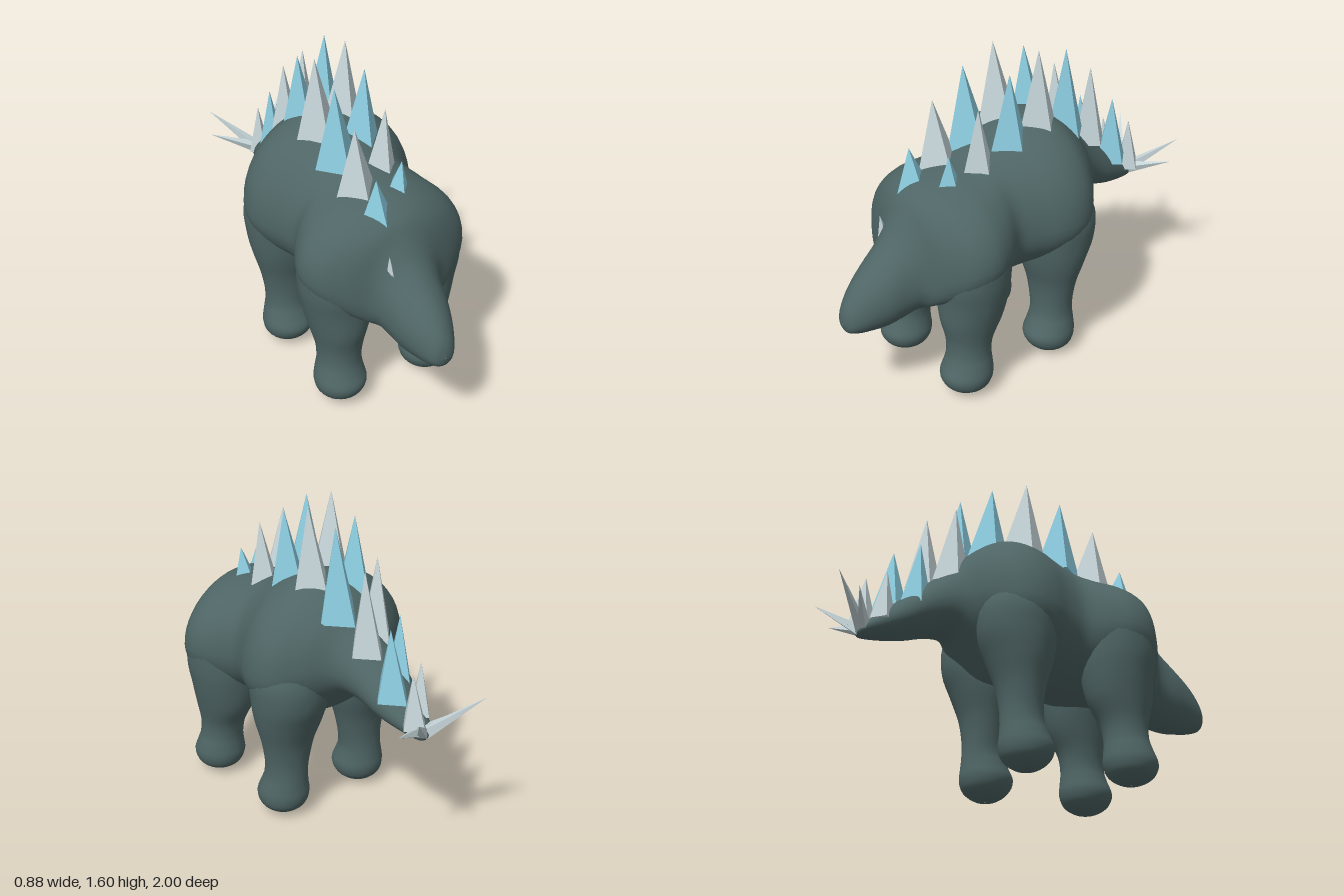
import * as THREE from 'three';

const mat = (name, color) => Object.assign(new THREE.MeshStandardMaterial({ color }), { name });

// Catmull-Rom blend through rows of section parameters
function sampleRows(rows, steps) {
  const out = [], n = rows.length;
  const at = i => rows[Math.min(n - 1, Math.max(0, i))];
  for (let i = 0; i < n - 1; i++) {
    for (let s = 0; s < steps; s++) {
      const t = s / steps;
      out.push(at(i).map((b, k) => {
        const a = at(i - 1)[k], c = at(i + 1)[k], d = at(i + 2)[k];
        return 0.5 * (2 * b + (c - a) * t + (2 * a - 5 * b + 4 * c - d) * t * t + (3 * b - a - 3 * c + d) * t * t * t);
      }));
    }
  }
  out.push(rows[n - 1]);
  return out;
}

// Smooth skin over closed cross-sections
function loft(rows, point, sides = 40, steps = 4) {
  const pos = [], index = [], rings = sampleRows(rows, steps);
  rings.forEach((row, i) => {
    for (let j = 0; j < sides; j++) {
      pos.push(...point(row, (j / sides) * Math.PI * 2));
      if (i === 0) continue;
      const k = (j + 1) % sides, p = (i - 1) * sides, q = i * sides;
      index.push(p + j, q + j, p + k, p + k, q + j, q + k);
    }
  });
  const geo = new THREE.BufferGeometry();
  geo.setAttribute('position', new THREE.Float32BufferAttribute(pos, 3));
  geo.setIndex(index);
  geo.computeVertexNormals();
  return geo;
}

// Four-sided faceted spike from a base centre to a tip
function spikeGeometry(base, tip, rx, rz, lean = false) {
  const dir = tip.clone().sub(base);
  let geo = new THREE.ConeGeometry(1, 1, 4).translate(0, 0.5, 0);
  if (lean) {
    geo.scale(rx, dir.length(), rz);
    geo.applyQuaternion(new THREE.Quaternion().setFromUnitVectors(new THREE.Vector3(0, 1, 0), dir.normalize()));
  } else {
    // Keep the base level and shear the tip sideways
    geo.applyMatrix4(new THREE.Matrix4().set(rx, dir.x, 0, 0, 0, dir.y, 0, 0, 0, dir.z, rz, 0, 0, 0, 0, 1));
  }
  geo.translate(base.x, base.y, base.z);
  geo = geo.toNonIndexed();
  geo.computeVertexNormals();
  return geo;
}

export function createModel() {
  const model = new THREE.Group();
  model.name = 'platedDinosaur';
  const skin = mat('slate skin', 0x4f6565);
  const blue = mat('ice blue', 0x8ccde0);
  const grey = mat('pale grey', 0xc6d5d9);
  const add = (name, geo, material) => {
    const mesh = new THREE.Mesh(geo, material);
    mesh.name = name;
    model.add(mesh);
  };
  const V = (x, y, z) => new THREE.Vector3(x, y, z);

  // Head, trunk and tail: z, half width, top, bottom, height of widest point
  const trunk = [
    [1.0, 0.002, 0.502, 0.498, 0.5],
    [0.985, 0.05, 0.57, 0.45, 0.5],
    [0.94, 0.085, 0.64, 0.43, 0.52],
    [0.88, 0.115, 0.7, 0.42, 0.55],
    [0.8, 0.145, 0.765, 0.415, 0.58],
    [0.71, 0.165, 0.85, 0.43, 0.61],
    [0.65, 0.2, 0.94, 0.45, 0.65],
    [0.6, 0.3, 1.02, 0.47, 0.7],
    [0.52, 0.4, 1.07, 0.49, 0.74],
    [0.41, 0.435, 1.1, 0.5, 0.76],
    [0.3, 0.4, 1.12, 0.5, 0.77],
    [0.2, 0.345, 1.16, 0.5, 0.78],
    [0.1, 0.37, 1.2, 0.51, 0.79],
    [0, 0.42, 1.235, 0.52, 0.8],
    [-0.1, 0.44, 1.25, 0.53, 0.81],
    [-0.2, 0.41, 1.235, 0.56, 0.83],
    [-0.3, 0.31, 1.17, 0.66, 0.87],
    [-0.38, 0.205, 1.09, 0.715, 0.88],
    [-0.48, 0.155, 1.0, 0.71, 0.85],
    [-0.6, 0.13, 0.9, 0.675, 0.78],
    [-0.7, 0.1, 0.81, 0.655, 0.73],
    [-0.79, 0.065, 0.73, 0.643, 0.69],
    [-0.83, 0.04, 0.7, 0.645, 0.67],
    [-0.845, 0.002, 0.672, 0.668, 0.67],
  ];
  add('body', loft(trunk, ([z, w, top, bottom, mid], a) => {
    const s = Math.sin(a);
    return [w * Math.cos(a), mid + s * (s > 0 ? top - mid : mid - bottom), z];
  }, 48), skin);

  // Legs: y, centre x, centre z, radius x, radius z
  const frontLeg = [
    [0.008, 0.245, 0.46, 0.002, 0.002],
    [0.02, 0.245, 0.46, 0.06, 0.06],
    [0.055, 0.245, 0.46, 0.11, 0.112],
    [0.11, 0.243, 0.46, 0.13, 0.133],
    [0.17, 0.243, 0.45, 0.12, 0.12],
    [0.23, 0.24, 0.442, 0.11, 0.11],
    [0.31, 0.235, 0.434, 0.117, 0.118],
    [0.42, 0.232, 0.418, 0.145, 0.158],
    [0.54, 0.23, 0.408, 0.175, 0.175],
    [0.66, 0.235, 0.41, 0.19, 0.185],
    [0.8, 0.235, 0.41, 0.18, 0.17],
    [0.92, 0.2, 0.41, 0.1, 0.1],
    [0.95, 0.2, 0.41, 0.002, 0.002],
  ];
  const hindLeg = [
    [0.002, 0.245, -0.08, 0.002, 0.002],
    [0.015, 0.245, -0.08, 0.06, 0.06],
    [0.055, 0.245, -0.08, 0.112, 0.112],
    [0.11, 0.243, -0.078, 0.13, 0.132],
    [0.17, 0.243, -0.088, 0.12, 0.118],
    [0.23, 0.24, -0.097, 0.11, 0.105],
    [0.31, 0.235, -0.1, 0.117, 0.103],
    [0.42, 0.232, -0.103, 0.14, 0.118],
    [0.54, 0.23, -0.108, 0.175, 0.158],
    [0.66, 0.235, -0.12, 0.19, 0.19],
    [0.8, 0.24, -0.12, 0.185, 0.19],
    [0.95, 0.22, -0.12, 0.12, 0.12],
    [0.98, 0.2, -0.12, 0.002, 0.002],
  ];
  for (const side of [1, -1]) {
    const ring = ([y, cx, cz, rx, rz], a) => [side * cx + rx * Math.cos(a), y, cz + rz * Math.sin(a)];
    const label = side > 0 ? 'left' : 'right';
    add(label + 'FrontLeg', loft(frontLeg, ring, 28), skin);
    add(label + 'HindLeg', loft(hindLeg, ring, 28), skin);
  }

  // Two staggered rows of back plates: tip x, tip y, tip z, height, radius
  const leftPlates = [
    [0.1, 1.22, 0.43, 0.16, 0.065],
    [0.11, 1.41, 0.26, 0.34, 0.095],
    [0.11, 1.53, 0.07, 0.41, 0.12],
    [0.11, 1.6, -0.11, 0.43, 0.12],
    [0.1, 1.55, -0.295, 0.46, 0.12],
    [0.08, 1.39, -0.48, 0.41, 0.1],
    [0.07, 1.16, -0.65, 0.35, 0.1],
    [0.055, 0.985, -0.79, 0.27, 0.075],
  ];
  const rightPlates = [
    [-0.09, 1.22, 0.515, 0.25, 0.11],
    [-0.11, 1.41, 0.355, 0.34, 0.115],
    [-0.11, 1.53, 0.17, 0.41, 0.125],
    [-0.11, 1.6, -0.015, 0.43, 0.125],
    [-0.1, 1.53, -0.2, 0.42, 0.12],
    [-0.08, 1.39, -0.385, 0.41, 0.1],
    [-0.07, 1.16, -0.56, 0.34, 0.085],
    [-0.06, 0.985, -0.72, 0.26, 0.065],
  ];
  for (const [name, row] of [['leftPlate', leftPlates], ['rightPlate', rightPlates]]) {
    row.forEach(([x, y, z, h, r], i) => {
      const geo = spikeGeometry(V(x * 0.85, y - h, z - 0.01), V(x, y, z), r * 0.9, r);
      add(name + (i + 1), geo, i % 2 ? grey : blue);
    });
  }
  // Tiny plate just breaking the skin of the neck
  add('neckPlate', spikeGeometry(V(-0.1, 0.78, 0.67), V(-0.113, 0.91, 0.68), 0.025, 0.04), grey);

  // Crossed spikes at the tail tip
  for (const side of [1, -1]) {
    const label = side > 0 ? 'left' : 'right';
    add(label + 'UpperTailSpike', spikeGeometry(V(side * 0.005, 0.67, -0.81), V(side * 0.21, 0.865, -1), 0.035, 0.035, true), grey);
    add(label + 'LowerTailSpike', spikeGeometry(V(side * 0.005, 0.68, -0.805), V(side * 0.25, 0.78, -0.91), 0.035, 0.035, true), grey);
  }
  return model;
}
